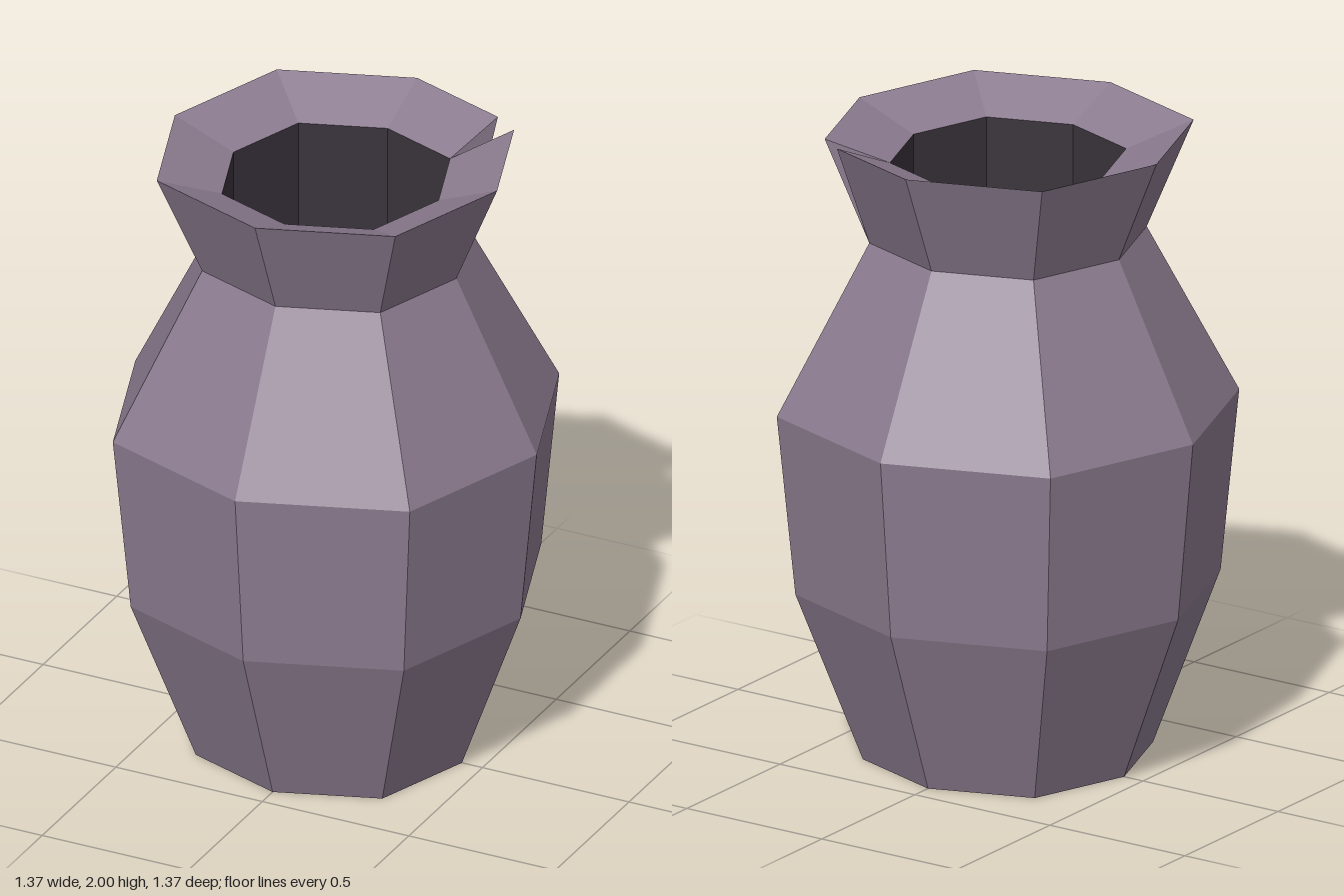
import * as THREE from 'three';

const SIDES = 8;
const NOTCH = 3; // corner where the lip is chipped

// Eight-sided ring; diagonal corners sit at 0.74 of the axis radius
function ring(r, y) {
  const D = 0.74;
  return [[0, 1], [D, D], [1, 0], [D, -D], [0, -1], [-D, -D], [-1, 0], [-D, D]]
    .map(([x, z]) => new THREE.Vector3(x * r, y, z * r));
}

// Flat-faced mesh from a list of convex corner loops
function faceted(name, faces, material) {
  const points = [];
  for (const f of faces) {
    for (let i = 1; i < f.length - 1; i++) points.push(f[0], f[i], f[i + 1]);
  }
  const geometry = new THREE.BufferGeometry().setFromPoints(points);
  geometry.computeVertexNormals();
  const mesh = new THREE.Mesh(geometry, material);
  mesh.name = name;
  return mesh;
}

// Quads between two rings; a ring may start and end each side at different points
function band(lowStart, upStart, lowEnd = lowStart, upEnd = upStart) {
  return lowStart.map((p, i) => {
    const j = (i + 1) % SIDES;
    return [p, lowEnd[j], upEnd[j], upStart[i]];
  });
}

export function createModel() {
  const clay = new THREE.MeshStandardMaterial({ color: 0x8c7c90 });
  clay.name = 'mauve clay';
  const dark = new THREE.MeshStandardMaterial({ color: 0x3a333c });
  dark.name = 'dark interior';

  const vase = new THREE.Group();
  vase.name = 'vase';

  const base = ring(0.43, 0);
  const belly = ring(0.63, 0.545);
  const shoulder = ring(0.685, 1.122);
  const neck = ring(0.411, 1.665);
  const mouth = ring(0.35, 1.92);
  const floor = ring(0.35, 0.12);

  // Lip ring, split in two points at the chipped corner
  const lipStart = ring(0.55, 2);
  const lipEnd = ring(0.55, 2);
  lipStart[NOTCH].set(0.335, 2, -0.433);
  lipEnd[NOTCH].set(0.417, 2, -0.38);

  // Outer body and underside
  vase.add(faceted('body', [
    ...band(base, belly), ...band(belly, shoulder), ...band(shoulder, neck),
  ], clay));
  vase.add(faceted('base', [[...base].reverse()], clay));

  // Flared collar and its sloping rim
  vase.add(faceted('collar', band(neck, lipStart, neck, lipEnd), clay));
  vase.add(faceted('rim', band(lipStart, mouth, lipEnd, mouth), clay));

  // Two cut faces of the chip
  const n = neck[NOTCH], m = mouth[NOTCH];
  vase.add(faceted('chip', [[n, lipStart[NOTCH], m], [n, m, lipEnd[NOTCH]]], clay));

  // Straight dark hollow
  vase.add(faceted('innerWall', band(floor, mouth).map((f) => f.reverse()), dark));
  vase.add(faceted('innerFloor', [floor], dark));

  return vase;
}
